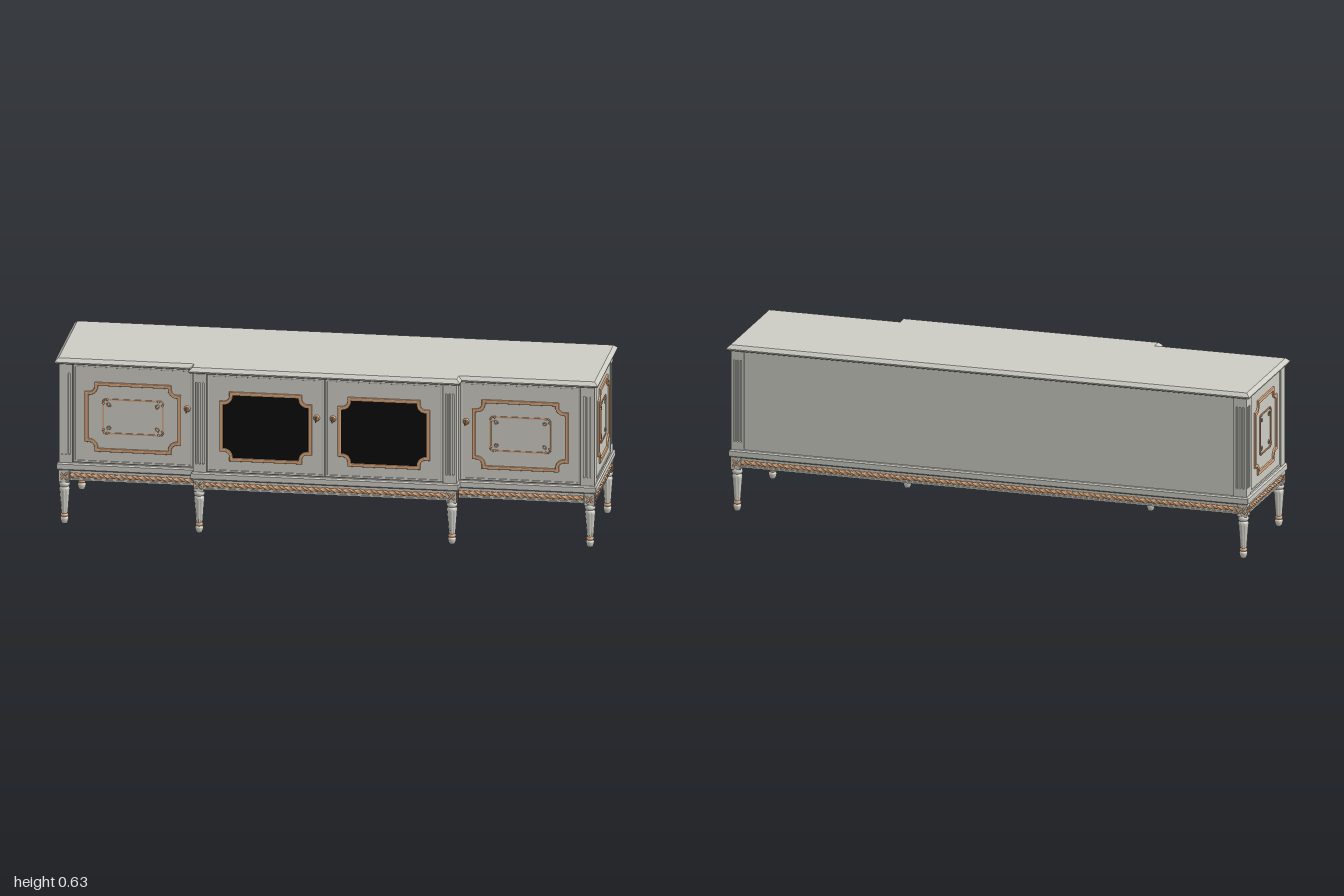
import * as THREE from 'three';

const paint = new THREE.MeshStandardMaterial({ color: 0xcdccc4 }); paint.name = 'ivory paint';
const gold = new THREE.MeshStandardMaterial({ color: 0xd9a67c }); gold.name = 'rose gold';
const glass = new THREE.MeshStandardMaterial({ color: 0x0b0b0b }); glass.name = 'black glass';

const V2 = (x, y) => new THREE.Vector2(x, y);
const V3 = (x, y, z) => new THREE.Vector3(x, y, z);

function add(parent, name, geo, mat, x = 0, y = 0, z = 0) {
  const m = new THREE.Mesh(geo, mat);
  m.name = name;
  m.position.set(x, y, z);
  parent.add(m);
  return m;
}
function addGroup(parent, name, x, y, z, ry = 0) {
  const g = new THREE.Group();
  g.name = name;
  g.position.set(x, y, z);
  g.rotation.y = ry;
  parent.add(g);
  return g;
}
const box = (w, h, d) => new THREE.BoxGeometry(w, h, d);

// Breakfront plan: two wings and a centre that steps forward
const W = 0.985, C = 0.485, BACK = -0.257, WING = 0.2, MID = 0.244;
const plan = o => [[-W - o, BACK - o], [-W - o, WING + o], [-C - o, WING + o], [-C - o, MID + o],
  [C + o, MID + o], [C + o, WING + o], [W + o, WING + o], [W + o, BACK - o]];

// Stack of offset plans, levels are [offset, y]
function loft(levels) {
  const rings = levels.map(([o, y]) => plan(o).map(([x, z]) => [x, y, z]));
  const p = [], tri = (...pts) => pts.forEach(q => p.push(...q));
  for (let i = 0; i + 1 < rings.length; i++) for (let j = 0; j < 8; j++) {
    const k = (j + 1) % 8, lo = rings[i], hi = rings[i + 1];
    tri(lo[j], lo[k], hi[k]);
    tri(lo[j], hi[k], hi[j]);
  }
  const bottom = rings[0], top = rings[rings.length - 1];
  for (const [a, b, c] of THREE.ShapeUtils.triangulateShape(plan(0).map(([x, z]) => V2(x, -z)), [])) {
    tri(top[a], top[b], top[c]);
    tri(bottom[a], bottom[c], bottom[b]);
  }
  const g = new THREE.BufferGeometry();
  g.setAttribute('position', new THREE.Float32BufferAttribute(p, 3));
  g.computeVertexNormals();
  return g;
}

const rect = (w, h) => new THREE.Shape([V2(-w / 2, -h / 2), V2(w / 2, -h / 2), V2(w / 2, h / 2), V2(-w / 2, h / 2)]);

// Rectangle with concave notched corners, inset by t
function notched(w, h, t = 0, n = 0.036, lip = 0.016) {
  const a = w / 2, b = h / 2, r = n - lip + t, pts = [];
  for (let q = 0; q < 4; q++) {
    const sx = q === 0 || q === 3 ? 1 : -1, sy = q < 2 ? 1 : -1;
    const c = [V2(a - t, b - n - t)];
    for (let i = 0; i <= 6; i++) {
      const u = i / 6 * Math.PI / 2;
      c.push(V2(a - lip - r * Math.sin(u), b - lip - r * Math.cos(u)));
    }
    c.push(V2(a - n - t, b - t));
    if (sx * sy < 0) c.reverse();
    c.forEach(v => pts.push(V2(v.x * sx, v.y * sy)));
  }
  return new THREE.Shape(pts);
}
function ring(outer, inner, depth, bevel) {
  outer.holes.push(inner);
  return new THREE.ExtrudeGeometry(outer, { depth, bevelEnabled: true, bevelThickness: bevel, bevelSize: bevel, bevelOffset: -bevel, bevelSegments: 2 });
}

// Panel with a raised border; its visible surface is at local z = 0
function panel(parent, name, w, h, x, y, z, ry = 0) {
  const g = addGroup(parent, name, x, y, z, ry);
  add(g, 'panelBoard', box(w, h, 0.012), paint, 0, 0, -0.006);
  add(g, 'panelBorder', ring(rect(w, h), rect(w - 0.016, h - 0.016), 0.001, 0.002), paint);
  return g;
}
function goldFrame(g, w, h, y = 0) {
  add(g, 'goldFrame', ring(notched(w, h), notched(w, h, 0.013), 0.004, 0.003), gold, 0, y, 0);
}

// Thin inner frame with rounded corners and small scrolls
const curl = new THREE.TubeGeometry(new THREE.CatmullRomCurve3([V3(0, 0, 0), V3(-0.006, 0.004, 0),
  V3(-0.013, 0.001, 0), V3(-0.014, -0.007, 0), V3(-0.009, -0.009, 0), V3(-0.008, -0.005, 0)]), 16, 0.0019, 5);
function scrollFrame(parent, w, h, y) {
  const g = addGroup(parent, 'scrollFrame', 0, y, 0.001), a = w / 2, b = h / 2, r = 0.015;
  for (const s of [-1, 1]) {
    add(g, 'frameBar', box(w - 2 * r, 0.005, 0.005), gold, 0, s * (b - 0.003), 0);
    add(g, 'frameBar', box(0.005, h - 2 * r, 0.005), gold, s * (a - 0.003), 0, 0);
  }
  for (let q = 0; q < 4; q++) {
    const corner = addGroup(g, 'cornerScroll', 0, 0, 0);
    corner.rotation.z = q * Math.PI / 2;
    const cx = (q % 2 ? b : a), cy = (q % 2 ? a : b);
    add(corner, 'cornerArc', new THREE.TorusGeometry(0.013, 0.003, 6, 10, Math.PI / 2), gold, cx - 0.015, cy - 0.015, 0);
    for (const [dx, dy] of [[0.004, 0.018], [0.018, 0.004]])
      add(corner, 'scrollEnd', new THREE.SphereGeometry(0.0045, 8, 6), gold, cx - dx, cy - dy, 0);
    add(corner, 'scrollCurl', curl, gold, cx - 0.015, cy - 0.021, 0);
    const mate = add(corner, 'scrollCurl', curl, gold, cx - 0.021, cy - 0.015, 0);
    mate.rotation.set(Math.PI, 0, -Math.PI / 2);
  }
}

// Post face with three grooves cut through a plate
function flutedFace(parent, x, z, ry) {
  const s = rect(0.05, 0.38);
  for (const i of [-1, 0, 1]) {
    const slot = new THREE.Path(), cx = i * 0.0125, r = 0.003;
    slot.absarc(cx, 0.15, r, 0, Math.PI);
    slot.absarc(cx, -0.155, r, Math.PI, Math.PI * 2);
    slot.closePath();
    s.holes.push(slot);
  }
  const m = add(parent, 'flutedPost', new THREE.ExtrudeGeometry(s, { depth: 0.008, bevelEnabled: false, curveSegments: 6 }), paint, x, 0.423, z);
  m.rotation.y = ry;
}

function ringPull(parent, x, z) {
  const g = addGroup(parent, 'ringPull', x, 0.46, z);
  add(g, 'rosette', new THREE.CylinderGeometry(0.008, 0.012, 0.006, 16).rotateX(Math.PI / 2), gold, 0, 0, 0.002);
  add(g, 'pullStem', new THREE.CylinderGeometry(0.003, 0.003, 0.009, 8).rotateX(Math.PI / 2), gold, 0, 0, 0.007);
  add(g, 'pullRing', new THREE.TorusGeometry(0.0095, 0.002, 6, 20).rotateY(Math.PI / 2), gold, 0, 0, 0.021);
}

// Apron rail with a twisted rope, outer face at local z = 0
function apron(parent, len, x, z, ry) {
  const g = addGroup(parent, 'apron', x, 0.187, z, ry);
  add(g, 'apronBoard', box(len, 0.042, 0.014), paint, 0, 0, -0.011);
  add(g, 'apronBead', box(len, 0.006, 0.012), paint, 0, -0.017, -0.006);
  add(g, 'apronBead', box(len, 0.006, 0.012), paint, 0, 0.015, -0.006);
  const rope = box(len, 0.014, 0.009, Math.ceil(len / 0.006));
  const geo = new THREE.BoxGeometry(len, 0.015, 0.01, Math.ceil(len / 0.006), 1, 1);
  rope.dispose();
  const p = geo.attributes.position;
  for (let i = 0; i < p.count; i++) {
    const t = p.getX(i) * Math.PI * 2 / 0.085, y = p.getY(i), zz = p.getZ(i);
    p.setXYZ(i, p.getX(i), y * Math.cos(t) - zz * Math.sin(t), (y * Math.sin(t) + zz * Math.cos(t)) * 0.8);
  }
  geo.computeVertexNormals();
  add(g, 'rope', geo, gold, 0, -0.001, -0.003);
  add(g, 'ropeBack', box(len, 0.017, 0.002), gold, 0, -0.001, -0.004);
}

// Turned leg: profile points are [radius, y]
const lathe = pts => new THREE.LatheGeometry(pts.map(([r, y]) => V2(r, y)), 32);
const foot = lathe([[0, 0], [0.01, 0], [0.013, 0.008], [0.0155, 0.018], [0.014, 0.023], [0.01, 0.025]]);
const band = lathe([[0.01, 0.025], [0.014, 0.028], [0.0145, 0.032], [0.0135, 0.036], [0.01, 0.039]]);
const shaft = lathe([[0.011, 0.038], [0.013, 0.045], [0.0155, 0.08], [0.019, 0.125], [0.02, 0.132], [0.017, 0.138], [0.014, 0.141]]);
const collar = lathe([[0.014, 0.14], [0.018, 0.143], [0.0205, 0.149], [0.019, 0.155], [0.015, 0.16]]);
const sp = shaft.attributes.position;
for (let i = 0; i < sp.count; i++) {
  const y = sp.getY(i), k = y > 0.043 && y < 0.128 && Math.floor(i / 7) % 4 === 2 ? 0.82 : 1;
  sp.setXYZ(i, sp.getX(i) * k, y, sp.getZ(i) * k);
}
shaft.computeVertexNormals();
const petal = new THREE.SphereGeometry(1, 8, 6).scale(0.0045, 0.0085, 0.002);

function leg(parent, x, z) {
  const g = addGroup(parent, 'leg', x, 0, z);
  add(g, 'foot', foot, paint);
  add(g, 'ankleBand', band, gold);
  add(g, 'flutedShaft', shaft, paint);
  add(g, 'collar', collar, paint);
  add(g, 'legBlock', box(0.036, 0.05, 0.036), paint, 0, 0.184, 0);
  for (let f = 0; f < 4; f++) {
    const face = addGroup(g, 'blockFlower', 0, 0.183, 0, f * Math.PI / 2);
    add(face, 'blockBorder', ring(rect(0.038, 0.044), rect(0.032, 0.038), 0.0005, 0.0005), paint, 0, 0, 0.018);
    for (let q = 0; q < 4; q++) {
      const a = q * Math.PI / 2 + Math.PI / 4;
      add(face, 'petal', petal, gold, -Math.sin(a) * 0.0105, Math.cos(a) * 0.0105, 0.0185).rotation.z = a;
    }
  }
}

export function createModel() {
  const model = new THREE.Group();
  model.name = 'sideboard';

  // Carcass, top slab and plinth
  add(model, 'carcass', loft([[-0.008, 0.23], [-0.008, 0.614]]), paint);
  add(model, 'topSlab', loft([[0.009, 0.612], [0.014, 0.615], [0.015, 0.62], [0.011, 0.624], [0.006, 0.629], [0.001, 0.633]]), paint);
  add(model, 'plinth', loft([[0.003, 0.207], [0.007, 0.211], [0.007, 0.23], [0.002, 0.235]]), paint);

  for (const s of [-1, 1]) {
    const side = s * Math.PI / 2;
    // Posts
    flutedFace(model, s * 0.96, WING - 0.008, 0);
    flutedFace(model, s * 0.46, MID - 0.008, 0);
    flutedFace(model, s * 0.96, BACK + 0.008, Math.PI);
    flutedFace(model, s * (W - 0.008), -0.232, side);
    add(model, 'cornerPost', box(0.03, 0.38, 0.045), paint, s * (W - 0.015), 0.423, 0.1725);
    add(model, 'stepPost', box(0.03, 0.38, 0.047), paint, s * (C - 0.015), 0.423, 0.2125);

    // Wing door
    const wing = panel(model, 'wingDoor', 0.44, 0.372, s * 0.7125, 0.424, WING - 0.003);
    goldFrame(wing, 0.355, 0.264, -0.01);
    scrollFrame(wing, 0.225, 0.135, -0.007);
    ringPull(model, s * 0.513, WING);

    // Glazed centre door
    const door = panel(model, 'glassDoor', 0.433, 0.372, s * 0.2175, 0.424, MID - 0.003);
    goldFrame(door, 0.34, 0.264, -0.01);
    add(door, 'glassPane', new THREE.ExtrudeGeometry(notched(0.34, 0.264, 0.01), { depth: 0.002, bevelEnabled: false }), glass, 0, -0.01, 0);
    ringPull(model, s * 0.03, MID - 0.002);

    // Side panel
    const end = panel(model, 'sidePanel', 0.357, 0.372, s * (W - 0.003), 0.424, -0.0285, side);
    goldFrame(end, 0.263, 0.283, -0.002);
    scrollFrame(end, 0.133, 0.155, -0.002);

    // Aprons and legs
    apron(model, 0.39, s * 0.985, -0.029, side);
    apron(model, 0.46, s * 0.715, 0.196, 0);
    for (const [x, z] of [[0.967, 0.182], [0.465, 0.222], [0.967, -0.238]]) leg(model, s * x, z);
  }
  apron(model, 0.895, 0, 0.238, 0);
  apron(model, 1.9, 0, -0.252, Math.PI);
  return model;
}
